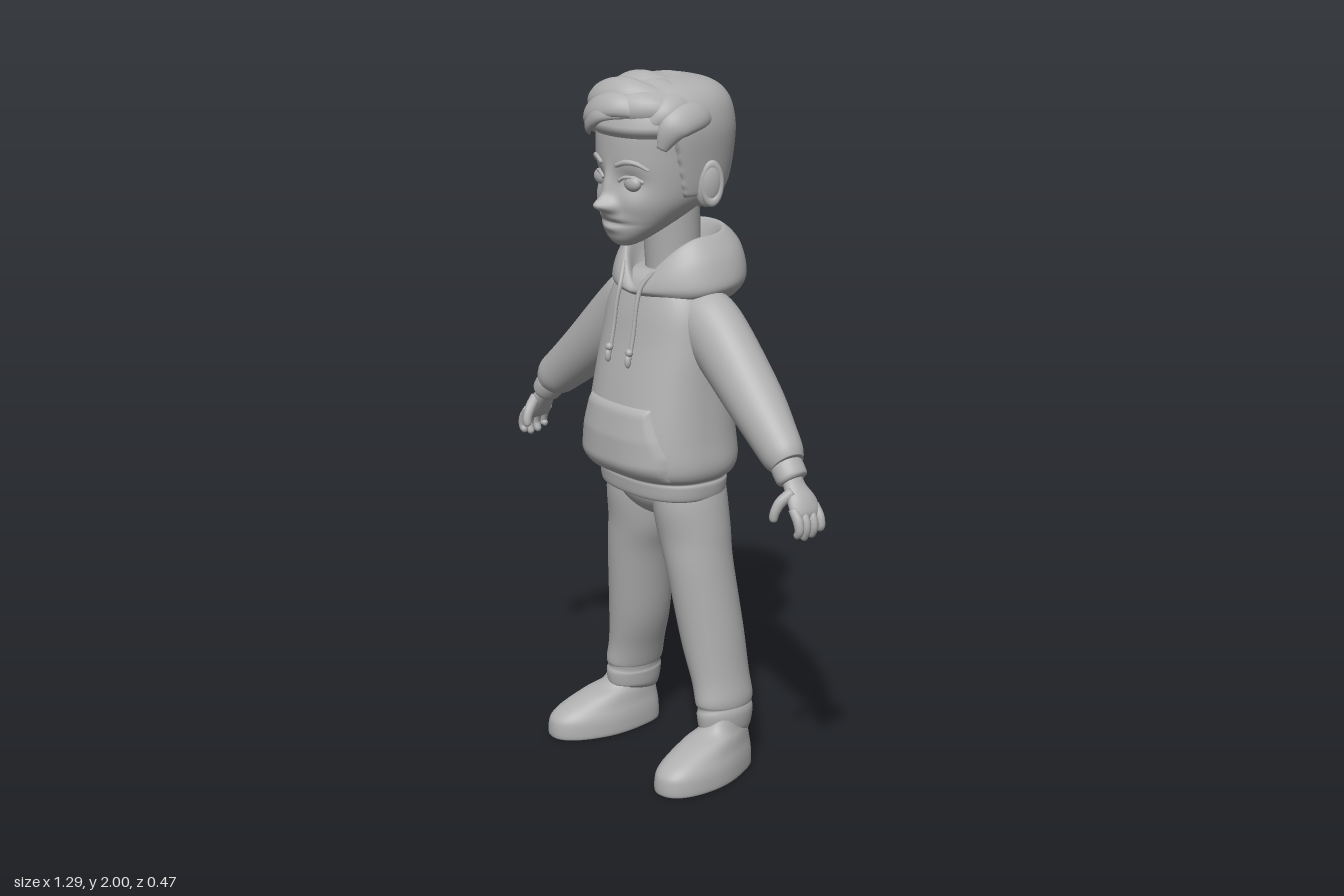
import * as THREE from 'three';

const V = (x, y, z) => new THREE.Vector3(x, y, z);
const grey = new THREE.MeshStandardMaterial({ color: 0xb0b0b0 });
grey.name = 'clay grey';

// Smoothly resample a list of number rows
function resample(keys, steps) {
  const out = [], last = keys.length - 1;
  for (let i = 0; i < last; i++) {
    for (let s = 0; s < steps + (i === last - 1 ? 1 : 0); s++) {
      const t = s / steps, t2 = t * t, t3 = t2 * t;
      const a = keys[Math.max(i - 1, 0)], b = keys[i], c = keys[i + 1], d = keys[Math.min(i + 2, last)];
      out.push(b.map((_, k) => 0.5 * (2 * b[k] + (c[k] - a[k]) * t +
        (2 * a[k] - 5 * b[k] + 4 * c[k] - d[k]) * t2 + (3 * b[k] - a[k] - 3 * c[k] + d[k]) * t3)));
    }
  }
  return out;
}

// Skin closed rings of points, with a cap at each end
function skin(rings, caps = true) {
  const n = rings[0].length, pos = [], idx = [];
  rings.forEach(r => r.forEach(p => pos.push(p.x, p.y, p.z)));
  for (let i = 0; i < rings.length - 1; i++) for (let j = 0; j < n; j++) {
    const a = i * n + j, b = i * n + (j + 1) % n;
    idx.push(a, b, a + n, b, b + n, a + n);
  }
  if (caps) [0, rings.length - 1].forEach((r, end) => {
    const c = rings[r].reduce((s, p) => s.add(p), V(0, 0, 0)).divideScalar(n);
    const k = pos.length / 3;
    pos.push(c.x, c.y, c.z);
    for (let j = 0; j < n; j++) {
      const a = r * n + j, b = r * n + (j + 1) % n;
      end ? idx.push(k, a, b) : idx.push(k, b, a);
    }
  });
  const g = new THREE.BufferGeometry();
  g.setAttribute('position', new THREE.Float32BufferAttribute(pos, 3));
  g.setIndex(idx);
  g.computeVertexNormals();
  return g;
}

// Stack of rounded outlines; rows are [y, halfWidth, zFront, zBack, ...extra]
function loft(keys, { n = 2, seg = 64, steps = 6, warp = null, caps = true } = {}) {
  return skin(resample(keys, steps).map(k => Array.from({ length: seg }, (_, j) => {
    const a = j / seg * Math.PI * 2, s = Math.sin(a), c = Math.cos(a);
    const p = V(k[1] * Math.sign(s) * Math.abs(s) ** (2 / n), k[0],
      (k[2] + k[3]) / 2 + (k[2] - k[3]) / 2 * Math.sign(c) * Math.abs(c) ** (2 / n));
    if (warp) warp(p, k, s, c);
    return p;
  })), caps);
}

// Tapered tube; rows are [x, y, z, radiusSide, radiusUp]
function sweep(keys, { ref = () => V(0, 0, 1), seg = 24, steps = 6 } = {}) {
  const rows = resample(keys, steps), pts = rows.map(r => V(r[0], r[1], r[2]));
  return skin(rows.map((r, i) => {
    const t = pts[Math.min(i + 1, pts.length - 1)].clone().sub(pts[Math.max(i - 1, 0)]).normalize();
    const v = ref(pts[i]);
    v.addScaledVector(t, -v.dot(t)).normalize();
    const u = v.clone().cross(t);
    return Array.from({ length: seg }, (_, j) => {
      const a = j / seg * Math.PI * 2;
      return pts[i].clone().addScaledVector(u, Math.cos(a) * r[3]).addScaledVector(v, Math.sin(a) * r[4]);
    });
  }));
}

// Front surface depth of a loft at x, y
function frontZ(keys, n, x, y) {
  let i = 0;
  while (i < keys.length - 2 && keys[i + 1][0] < y) i++;
  const t = (y - keys[i][0]) / (keys[i + 1][0] - keys[i][0]);
  const [, w, f, b] = keys[i].map((v, k) => v + (keys[i + 1][k] - v) * t);
  return (f + b) / 2 + (f - b) / 2 * Math.max(0, 1 - Math.abs(x / w) ** n) ** (1 / n);
}

const bump = (dx, dy, sx, sy) => Math.exp(-((dx / sx) ** 2) - (dy / sy) ** 2);

const TORSO = [[.815, .185, .12, -.13], [.822, .198, .135, -.145], [.858, .203, .14, -.15], [.872, .2, .142, -.148],
  [.888, .217, .175, -.174], [.925, .225, .189, -.187], [1, .217, .187, -.182], [1.13, .206, .162, -.167],
  [1.25, .2, .132, -.15], [1.35, .185, .11, -.13], [1.42, .145, .085, -.11], [1.45, .08, .05, -.08]];

const HEAD = [[1.528, .02, .12, .08, .3], [1.531, .05, .147, 0, .33], [1.55, .088, .168, -.1, .32], [1.585, .116, .178, -.14, .24],
  [1.64, .14, .18, -.163, .12], [1.7, .152, .182, -.178, .05], [1.78, .158, .184, -.186, 0], [1.86, .16, .178, -.184, 0],
  [1.92, .143, .15, -.165, 0], [1.955, .1, .1, -.12, 0], [1.97, .02, .02, -.03, 0]];

export function createModel() {
  const model = new THREE.Group();
  const add = (name, geo, x = 0, y = 0, z = 0) => {
    const m = new THREE.Mesh(geo, grey);
    m.name = name;
    m.position.set(x, y, z);
    model.add(m);
    return m;
  };
  const ball = (rx, ry, rz) => new THREE.SphereGeometry(1, 32, 20).scale(rx, ry, rz);
  const tilt = (p, k) => { p.y += k[4] * (k[2] - p.z); };

  // Head with nose, sockets, cheeks and mouth pressed into the face
  add('head', loft(HEAD, { n: 2.25, seg: 144, steps: 9, warp: (p, k, s, c) => {
    tilt(p, k);
    if (c < 0.3) return;
    const ax = Math.abs(p.x);
    p.z += .046 * bump(p.x, p.y - 1.648, .026, .022) + .02 * bump(p.x, p.y - 1.69, .018, .045)
      + .012 * bump(ax - .025, p.y - 1.643, .014, .014)
      - .016 * bump(ax - .068, p.y - 1.715, .04, .03) + .006 * bump(ax - .085, p.y - 1.65, .04, .03)
      + .01 * bump(p.x, p.y - 1.614, .045, .012) - .008 * bump(p.x, p.y - 1.598, .06, .006)
      + .008 * bump(p.x, p.y - 1.583, .035, .012);
  } }));
  add('neck', sweep([[0, 1.36, -.045, .085, .085], [0, 1.46, -.04, .076, .08], [0, 1.64, -.03, .08, .085]]));

  // Short hair hugging the skull, ending at the hairline
  add('hairCap', loft(HEAD, { n: 2.25, seg: 144, steps: 9, warp: (p, k) => {
    tilt(p, k);
    const ramp = THREE.MathUtils.smoothstep;
    const line = 1.6 + .07 * ramp(p.z, -.09, -.03) + .17 * ramp(p.z, .035, .085);
    const out = -.012 + .026 * ramp(p.y, line - .012, line + .012) + .006 * ramp(p.y, 1.72, 1.85);
    const d = V(p.x, (p.y - 1.76) * .6, p.z).normalize();
    p.addScaledVector(d, out);
  } }));

  // Swept volume on top with locks laid over it
  const top = ball(.158, .08, .145);
  const tp = top.attributes.position;
  for (let i = 0; i < tp.count; i++) {
    const x = tp.getX(i), y = tp.getY(i), z = tp.getZ(i);
    tp.setY(i, y + .004 * Math.sin(z * 55 + x * 25) - .12 * Math.max(0, -x) * Math.max(0, z) / .1);
  }
  top.computeVertexNormals();
  add('hairTop', top, 0, 1.907, .055);
  const outward = p => p.clone().sub(V(0, 1.8, 0));
  [
    [[.13, 1.89, .1], [.04, 1.925, .185], [-.07, 1.89, .19], [-.16, 1.82, .11], .036],
    [[.13, 1.935, .06], [.03, 1.96, .15], [-.09, 1.93, .155], [-.165, 1.865, .07], .04],
    [[.11, 1.945, -.03], [.02, 1.975, .07], [-.08, 1.955, .08], [-.155, 1.895, .01], .04],
    [[.08, 1.925, -.13], [.02, 1.965, -.04], [-.07, 1.95, -.01], [-.14, 1.89, -.06], .045],
    [[.09, 1.9, .15], [.01, 1.905, .205], [-.06, 1.865, .2], [-.11, 1.825, .165], .028],
    [[.145, 1.81, .115], [.165, 1.875, .085], [.162, 1.895, 0], [.115, 1.885, -.11], .042],
    [[.1, 1.86, .15], [.135, 1.91, .1], [.13, 1.93, .02], [.09, 1.925, -.08], .036],
    [[-.14, 1.82, .115], [-.16, 1.865, .05], [-.15, 1.885, -.04], [-.09, 1.9, -.13], .036],
  ].forEach(([a, b, c, d, r]) => add('hairLock', sweep([[...a, r * .35, r * .2], [...b, r, r * .55],
    [...c, r * .9, r * .5], [...d, r * .15, r * .1]], { ref: outward, steps: 8, seg: 20 })));

  // Hood lying open around the neck; extra values are side and back heights
  add('hood', loft([[1.37, .165, .085, -.12, 1.385, 1.33], [1.385, .192, .1, -.185, 1.4, 1.35], [1.395, .2, .112, -.235, 1.43, 1.42],
    [1.405, .178, .108, -.228, 1.495, 1.51], [1.408, .138, .095, -.19, 1.545, 1.558], [1.4, .12, .082, -.17, 1.54, 1.55],
    [1.38, .1, .062, -.14, 1.47, 1.47], [1.36, .07, .03, -.1, 1.42, 1.42]], { n: 2.1, seg: 96, caps: false, warp: (p, k, s, c) => {
    p.y = c > 0 ? k[4] + (k[0] - k[4]) * (1 - Math.abs(s) ** 1.2) : k[4] + (k[5] - k[4]) * c * c;
  } }));

  add('sweater', loft(TORSO, { n: 2.4, seg: 80 }));

  // Front pocket following the belly
  const pocket = new THREE.PlaneGeometry(2, 1, 40, 24);
  const pp = pocket.attributes.position;
  for (let i = 0; i < pp.count; i++) {
    const u = pp.getX(i), v = pp.getY(i) + .5, y = .888 + .205 * v;
    const x = u * (.135 + .055 * Math.min(1, (1 - v) * 1.5) ** 1.3);
    const edge = Math.min(1, (1 - Math.abs(u)) * 9, (1 - v) * 10, v * 8 + .2);
    pp.setXYZ(i, x, y, frontZ(TORSO, 2.4, x, y) - .006 + .019 * Math.sqrt(edge));
  }
  pocket.computeVertexNormals();
  add('pocket', pocket);

  add('hips', loft([[.735, .03, .03, -.06], [.76, .1, .07, -.11], [.8, .185, .095, -.13], [.85, .19, .1, -.13]], { n: 2.2 }));

  for (const s of [1, -1]) {
    const side = s > 0 ? 'left' : 'right';
    const limb = (name, keys, opt) => add(side + name, sweep(keys.map(([x, ...r]) => [x * s, ...r]), opt));

    // Face details
    add(side + 'Eye', ball(.031, .023, .018), s * .067, 1.712, frontZ(HEAD, 2.25, .067, 1.712) - .016);
    limb('Eyelid', [-1, -.4, .4, 1].map(t => {
      const x = .067 + t * .034, y = 1.73 - t * t * .014;
      return [x, y, frontZ(HEAD, 2.25, x, y) - .005, .005, .005];
    }), { seg: 10 });
    limb('Brow', [[.03, 1.758, .006], [.06, 1.77, .008], [.09, 1.768, .007], [.115, 1.752, .003]].map(([x, y, r]) =>
      [x, y, frontZ(HEAD, 2.25, x, y) - .001, r, .008]), { seg: 12 });
    const ear = add(side + 'Ear', ball(.022, .064, .037), s * .166, 1.703, -.03);
    ear.rotation.set(-.1, s * -.35, s * -.12);
    const rim = add(side + 'EarRim', new THREE.TorusGeometry(.03, .008, 10, 32).scale(.9, 1.7, 1), s * .178, 1.706, -.032);
    rim.rotation.set(0, Math.PI / 2 - s * .35, 0);

    // Drawstring with a knotted end
    limb('Drawstring', [[.07, 1.462, .078, .007, .007], [.046, 1.415, .108, .007, .007], [.044, 1.36, .124, .006, .006],
      [.045, 1.28, .136, .006, .006], [.045, 1.2, .154, .006, .006]], { seg: 10 });
    add(side + 'Knot', ball(.011, .011, .011), s * .045, 1.235, .15);
    add(side + 'StringTip', ball(.009, .018, .009), s * .045, 1.21, .155);

    // Sleeve and cuff
    limb('Sleeve', [[.09, 1.345, -.03, .075, .075], [.15, 1.32, -.033, .096, .084], [.215, 1.275, -.035, .096, .084],
      [.37, 1.142, -.028, .081, .078], [.47, 1.06, -.014, .069, .064], [.515, 1.025, -.006, .062, .056],
      [.537, 1.005, -.003, .048, .046]], { seg: 32 });
    limb('Cuff', [[.52, 1.018, -.003, .04, .04], [.536, .997, -.003, .043, .046], [.556, .973, -.002, .041, .045],
      [.562, .966, -.002, .032, .036]]);

    // Hand with four fingers and a thumb
    limb('Palm', [[.548, .985, -.002, .026, .028], [.572, .95, 0, .023, .034], [.597, .918, -.002, .024, .046],
      [.614, .89, -.003, .02, .047], [.62, .876, -.003, .01, .04]]);
    [[-.039, .835], [-.014, .822], [.012, .819], [.036, .828]].forEach(([z, tip]) => limb('Finger', [
      [.605, .905, z, .013, .013], [.625, .878, z, .0145, .0135], [.632, .852, z, .0125, .0125],
      [.624, tip + .008, z, .0105, .011], [.621, tip, z, .004, .004]], { seg: 14 }));
    limb('Thumb', [[.585, .945, .02, .016, .016], [.572, .92, .05, .015, .016], [.566, .893, .065, .013, .014],
      [.563, .872, .068, .011, .011], [.562, .866, .068, .004, .004]], { seg: 14 });

    // Trouser leg gathered at the ankle
    limb('Leg', [[.1, .85, -.018, .09, .11], [.107, .79, -.018, .097, .112], [.117, .7, -.026, .099, .106], [.138, .6, -.03, .088, .1],
      [.168, .4, -.051, .081, .097], [.194, .28, -.06, .067, .092], [.209, .215, -.062, .062, .094], [.211, .195, -.062, .057, .088],
      [.213, .175, -.062, .06, .092], [.213, .135, -.062, .055, .086], [.213, .12, -.06, .045, .075]], { seg: 36 });

    // Shoe turned slightly outward, narrower at the heel
    const shoe = add(side + 'Shoe', loft([[0, .076, .2, -.138], [.004, .086, .212, -.148], [.035, .086, .212, -.149], [.06, .082, .203, -.147],
      [.085, .074, .17, -.143], [.115, .066, .1, -.136], [.14, .056, .03, -.128], [.19, .045, 0, -.12]], { n: 2.3, steps: 5, warp: p => {
      p.x *= 1 - .22 * THREE.MathUtils.smoothstep(-p.z, -.06, .12);
    } }), s * .232, 0, 0);
    shoe.rotation.y = s * .15;
  }
  return model;
}
